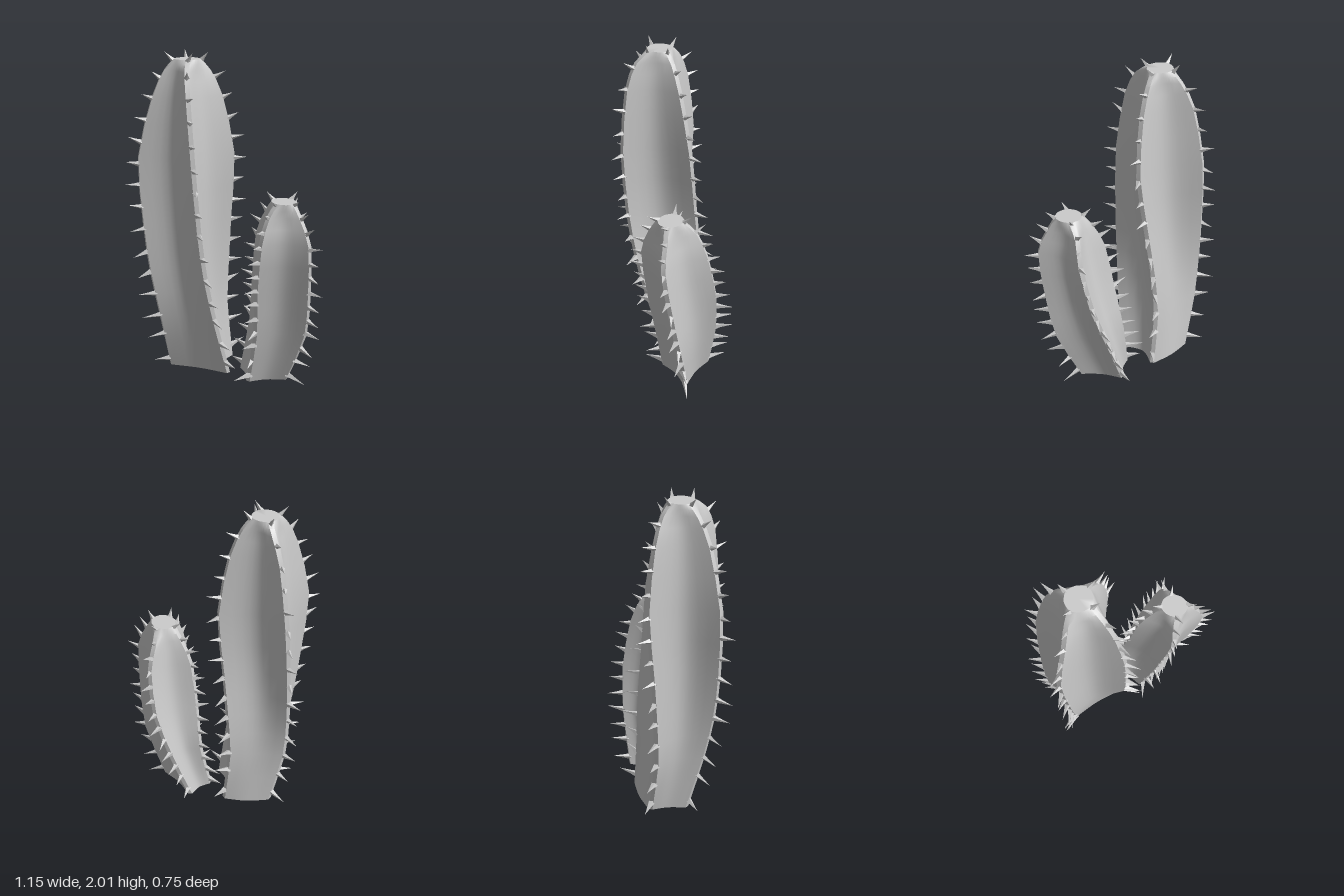
import * as THREE from 'three';
import { toCreasedNormals, mergeGeometries } from 'three/addons/utils/BufferGeometryUtils.js';

const material = new THREE.MeshStandardMaterial({ color: 0xcccccc });
const SUB = 2;      // rings between two key levels
const VALLEY = 8;   // steps across each groove between ribs

// Levels from bottom to top: [y, fill of the four grooves, then x, z of the rib
// tips in the order front, right, back, left (counterclockwise from above)]
const TALL = [
  [0.02, [0.6, 1.15, 0.9, 0.85], 0.04, 0.06, 0.06, -0.2, -0.23, -0.265, -0.33, -0.06],
  [0.4, [0.6, 0.85, 0.7, 0.65], -0.04, 0.15, 0.025, -0.2, -0.31, -0.27, -0.385, 0.02],
  [0.7, [0.6, 0.65, 0.55, 0.55], -0.095, 0.2, 0.035, -0.18, -0.32, -0.28, -0.435, 0.05],
  [1.0, [0.6, 0.6, 0.52, 0.52], -0.13, 0.23, 0.05, -0.14, -0.31, -0.29, -0.468, 0.055],
  [1.4, [0.6, 0.6, 0.52, 0.52], -0.16, 0.24, 0.07, -0.09, -0.28, -0.3, -0.488, 0.04],
  [1.75, [0.65, 0.65, 0.6, 0.6], -0.185, 0.19, 0.0, -0.06, -0.25, -0.24, -0.4, 0.02],
  [1.9, [0.75, 0.75, 0.75, 0.75], -0.195, 0.12, -0.07, -0.05, -0.22, -0.17, -0.33, -0.01],
  [1.96, [1.25, 1.25, 1.25, 1.25], -0.19, 0.035, -0.125, -0.04, -0.21, -0.11, -0.275, -0.03],
];
const SHORT = [
  [0.01, [0.8, 0.8, 0.8, 0.8], 0.16, 0.15, 0.4, 0.12, 0.27, -0.12, 0.12, -0.04],
  [0.35, [0.72, 0.7, 0.7, 0.72], 0.2, 0.22, 0.5, 0.22, 0.38, -0.1, 0.18, -0.06],
  [0.65, [0.7, 0.65, 0.65, 0.68], 0.2, 0.27, 0.51, 0.28, 0.46, -0.05, 0.19, 0.0],
  [0.95, [0.7, 0.65, 0.65, 0.68], 0.22, 0.31, 0.5, 0.32, 0.47, 0.02, 0.21, 0.05],
  [1.1, [0.75, 0.75, 0.75, 0.75], 0.26, 0.28, 0.45, 0.28, 0.43, 0.07, 0.26, 0.1],
  [1.18, [1.25, 1.25, 1.25, 1.25], 0.31, 0.25, 0.41, 0.25, 0.4, 0.14, 0.3, 0.14],
];

function seeded(seed) {
  return () => (seed = (seed * 16807) % 2147483647) / 2147483647;
}

// Curve along each rib edge
function ribCurves(levels) {
  return [0, 1, 2, 3].map((r) => new THREE.CatmullRomCurve3(
    levels.map((l) => new THREE.Vector3(l[2 + r * 2], l[0], l[3 + r * 2])), false, 'catmullrom', 0.4));
}

function centreOf(points) {
  return points.reduce((s, p) => s.add(p), new THREE.Vector3()).multiplyScalar(0.25);
}

// Star-shaped section: flat-edged rib tips joined by rounded V grooves
function section(tips, fills, edge) {
  const c = centreOf(tips);
  const sides = tips.map((p) => {
    const out = p.clone().sub(c).setY(0).normalize();
    const tangent = new THREE.Vector3(out.z, 0, -out.x).multiplyScalar(edge);
    return [p.clone().sub(tangent), p.clone().add(tangent)];
  });
  const ring = sides.flatMap(([start, a], r) => {
    const b = sides[(r + 1) % 4][0];
    const deep = c.clone().lerp(a.clone().add(b).multiplyScalar(0.5), fills[r]);
    const groove = new THREE.CubicBezierCurve3(a, deep, deep, b);
    return [start, ...groove.getPoints(VALLEY).slice(0, VALLEY)];
  });
  return { ring, c };
}

function stemGeometry(levels, curves) {
  const steps = (levels.length - 1) * SUB;
  const sections = [];
  for (let i = 0; i <= steps; i++) {
    const k = Math.min(Math.floor(i / SUB), levels.length - 2);
    const fills = levels[k][1].map((f, r) => THREE.MathUtils.lerp(f, levels[k + 1][1][r], i / SUB - k));
    sections.push(section(curves.map((q) => q.getPoint(i / steps)), fills, 0.013));
  }
  const n = sections[0].ring.length, base = (steps + 1) * n;
  const points = [...sections.flatMap((s) => s.ring), sections[0].c, sections[steps].c];
  const indices = [];
  for (let j = 0; j < n; j++) {
    const next = (j + 1) % n;
    for (let i = 0; i < steps; i++) {
      const a = i * n + j, b = i * n + next;
      indices.push(a, b, b + n, a, b + n, a + n);
    }
    // Bottom and top caps
    indices.push(base, next, j, base + 1, steps * n + j, steps * n + next);
  }
  const g = new THREE.BufferGeometry().setFromPoints(points);
  g.setIndex(indices);
  return toCreasedNormals(g, 0.6);
}

// Four-sided thorn with a flared foot, pointing along +y
function thornGeometry() {
  const g = new THREE.LatheGeometry([[0.022, -0.012], [0.012, 0.03], [0, 0.1]]
    .map(([x, y]) => new THREE.Vector2(x, y)), 4).toNonIndexed();
  g.computeVertexNormals();
  return g;
}

function spinesGeometry(curves, count, random) {
  const thorn = thornGeometry(), parts = [];
  const up = new THREE.Vector3(0, 1, 0);
  curves.forEach((curve) => {
    for (let i = 0; i < count; i++) {
      const u = 0.04 + 0.955 * (i / (count - 1)) ** 0.9;
      const t = curve.getUtoTmapping(u - 0.02 * random() * (1 - u));
      const p = curve.getPoint(t), along = curve.getTangent(t);
      const out = p.clone().sub(centreOf(curves.map((q) => q.getPoint(t)))).setY(0).normalize();
      const side = new THREE.Vector3(out.z, 0, -out.x);
      const dir = out.addScaledVector(along, -out.dot(along)).normalize();
      dir.addScaledVector(side, (random() - 0.5) * 0.7).addScaledVector(up, (random() - 0.35) * 0.35).normalize();
      const length = (1.1 - 0.45 * u) * (0.85 + 0.3 * random());
      const width = 1 - 0.25 * u;
      parts.push(thorn.clone().applyMatrix4(new THREE.Matrix4().compose(p,
        new THREE.Quaternion().setFromUnitVectors(up, dir), new THREE.Vector3(width, length, width))));
    }
  });
  return mergeGeometries(parts);
}

function cactus(name, levels, spineCount, seed) {
  const group = new THREE.Group();
  group.name = name;
  const curves = ribCurves(levels);
  const stem = new THREE.Mesh(stemGeometry(levels, curves), material);
  stem.name = 'ribbedStem';
  const spines = new THREE.Mesh(spinesGeometry(curves, spineCount, seeded(seed)), material);
  spines.name = 'spines';
  group.add(stem, spines);
  return group;
}

export function createModel() {
  const model = new THREE.Group();
  model.name = 'cactusPair';
  model.add(cactus('tallCactus', TALL, 15, 71), cactus('shortCactus', SHORT, 13, 137));
  return model;
}
